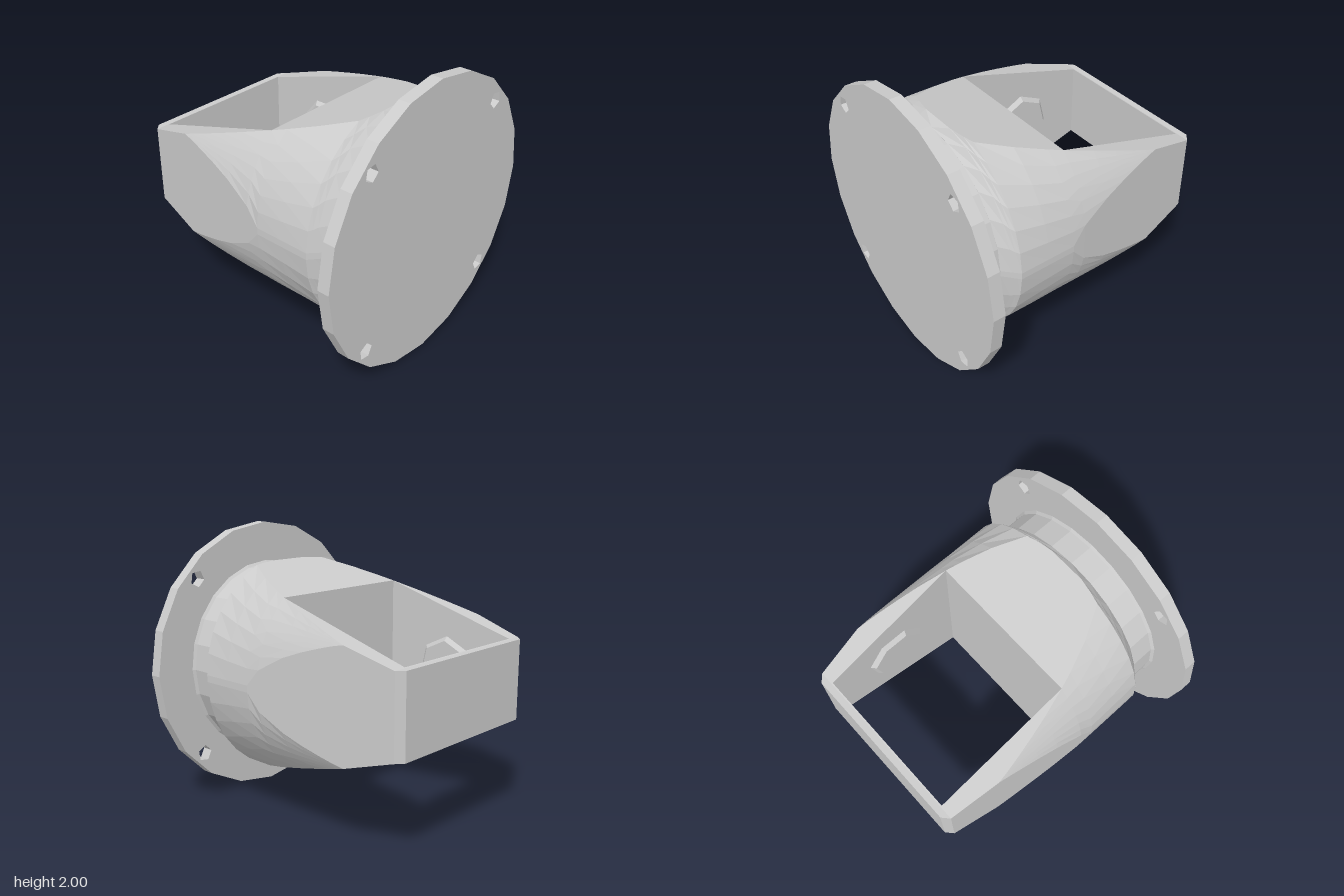
import * as THREE from 'three';

const material = new THREE.MeshStandardMaterial({ color: 0xcccccc, flatShading: true });
const CY = 1;          // height of the main axis, which runs along x
const POCKET_Z = 0.55; // half width of the pocket
const POCKET_X = 0.1;  // deep end of the pocket
const ARC = 6;         // steps along each rounded corner

// The body is a round bar cut by sloping top, bottom and side planes.
const radius = x => (x <= 0.61 ? 0.8 : 0.8 - (x - 0.61) * 1.11);
const halfHeight = x => 0.28 + 0.295 * Math.max(0, x + 0.92);
const halfWidth = x => (x < -0.92 ? 0.65 - 1.1 * (-0.92 - x) : 0.65 + 0.135 * (x + 0.92));

// Outline of the +z side at x, from top to bottom, as [y, z].
function sideOutline(x) {
  const r = radius(x);
  const top = Math.asin(Math.min(halfHeight(x) / r, 1));
  const flat = Math.min(top, Math.max(0.03, Math.acos(Math.min(halfWidth(x) / r, 1))));
  const upper = [];
  for (let i = 0; i <= ARC; i++) {
    const t = top + (flat - top) * i / ARC;
    upper.push([r * Math.sin(t), Math.min(halfWidth(x), r * Math.cos(t))]);
  }
  return [...upper, ...upper.map(([y, z]) => [-y, z]).reverse()];
}

// Full section, and the section of one pocket wall.
const fullSection = x => {
  const side = sideOutline(x);
  return [...side, ...side.map(([y, z]) => [y, -z]).reverse()];
};
const wallSection = sign => x => {
  const side = sideOutline(x).map(([y, z]) => [y, Math.max(z, POCKET_Z)]);
  const h = side[0][0];
  const ring = [...side, [-h, POCKET_Z], [h, POCKET_Z]];
  return sign > 0 ? ring : ring.map(([y, z]) => [y, -z]).reverse();
};

// Skin the sections along x and close both ends.
function loft(xs, section) {
  const pos = [], index = [];
  let n = 0;
  for (const x of xs) {
    const ring = section(x);
    n = ring.length;
    for (const [y, z] of ring) pos.push(x, CY + y, z);
  }
  for (let i = 0; i < xs.length - 1; i++) {
    for (let j = 0; j < n; j++) {
      const a = i * n + j, b = i * n + (j + 1) % n;
      index.push(a, b, b + n, a, b + n, a + n);
    }
  }
  const last = (xs.length - 1) * n;
  for (let j = 1; j < n - 1; j++) {
    index.push(0, j + 1, j, last, last + j, last + j + 1);
  }
  const g = new THREE.BufferGeometry();
  g.setAttribute('position', new THREE.Float32BufferAttribute(pos, 3));
  g.setIndex(index);
  const flat = g.toNonIndexed();
  flat.computeVertexNormals();
  return flat;
}

function polygon(PathType, cx, cy, r, sides, turn = 0) {
  const pts = [];
  for (let i = 0; i < sides; i++) {
    const a = turn + i / sides * Math.PI * 2;
    pts.push(new THREE.Vector2(cx + r * Math.cos(a), cy + r * Math.sin(a)));
  }
  return new PathType(pts);
}

export function createModel() {
  const model = new THREE.Group();
  const add = (name, geometry) => {
    const mesh = new THREE.Mesh(geometry, material);
    mesh.name = name;
    model.add(mesh);
    return mesh;
  };

  // Solid body, end wall and the two pocket walls
  add('body', loft([POCKET_X, 0.2, 0.4, 0.61, 0.63, 0.65, 0.7], fullSection));
  add('endWall', loft([-0.965, -0.92, -0.91], fullSection));
  const wallXs = [-0.91, -0.56, -0.48, -0.38, -0.25, -0.1, POCKET_X];
  add('leftWall', loft(wallXs, wallSection(1)));
  add('rightWall', loft(wallXs, wallSection(-1)));

  // Low bosses on the inner faces of the pocket
  for (const s of [1, -1]) {
    const g = new THREE.CylinderGeometry(0.2, 0.23, 0.03, 7);
    g.rotateX(-s * Math.PI / 2);
    const boss = add(s > 0 ? 'leftBoss' : 'rightBoss', g);
    boss.position.set(-0.4, CY, s * (POCKET_Z - 0.015));
  }

  // Round collar, flared where it meets the flange
  const profile = [[0.7, 0.69], [0.7, 0.865], [0.73, 0.89]];
  const collar = new THREE.LatheGeometry(profile.map(p => new THREE.Vector2(...p)), 24);
  collar.rotateZ(-Math.PI / 2);
  add('collar', collar).position.y = CY;

  // Flange with four bolt holes
  const disc = polygon(THREE.Shape, 0, 0, 1, 20);
  for (const sx of [1, -1]) {
    for (const sy of [1, -1]) {
      disc.holes.push(polygon(THREE.Path, sx * 0.64, sy * 0.64, 0.06, 5, Math.atan2(sy, sx)));
    }
  }
  const flange = new THREE.ExtrudeGeometry(disc, { depth: 0.085, bevelEnabled: false });
  flange.rotateY(Math.PI / 2);
  add('flange', flange).position.set(0.88, CY, 0);

  return model;
}
